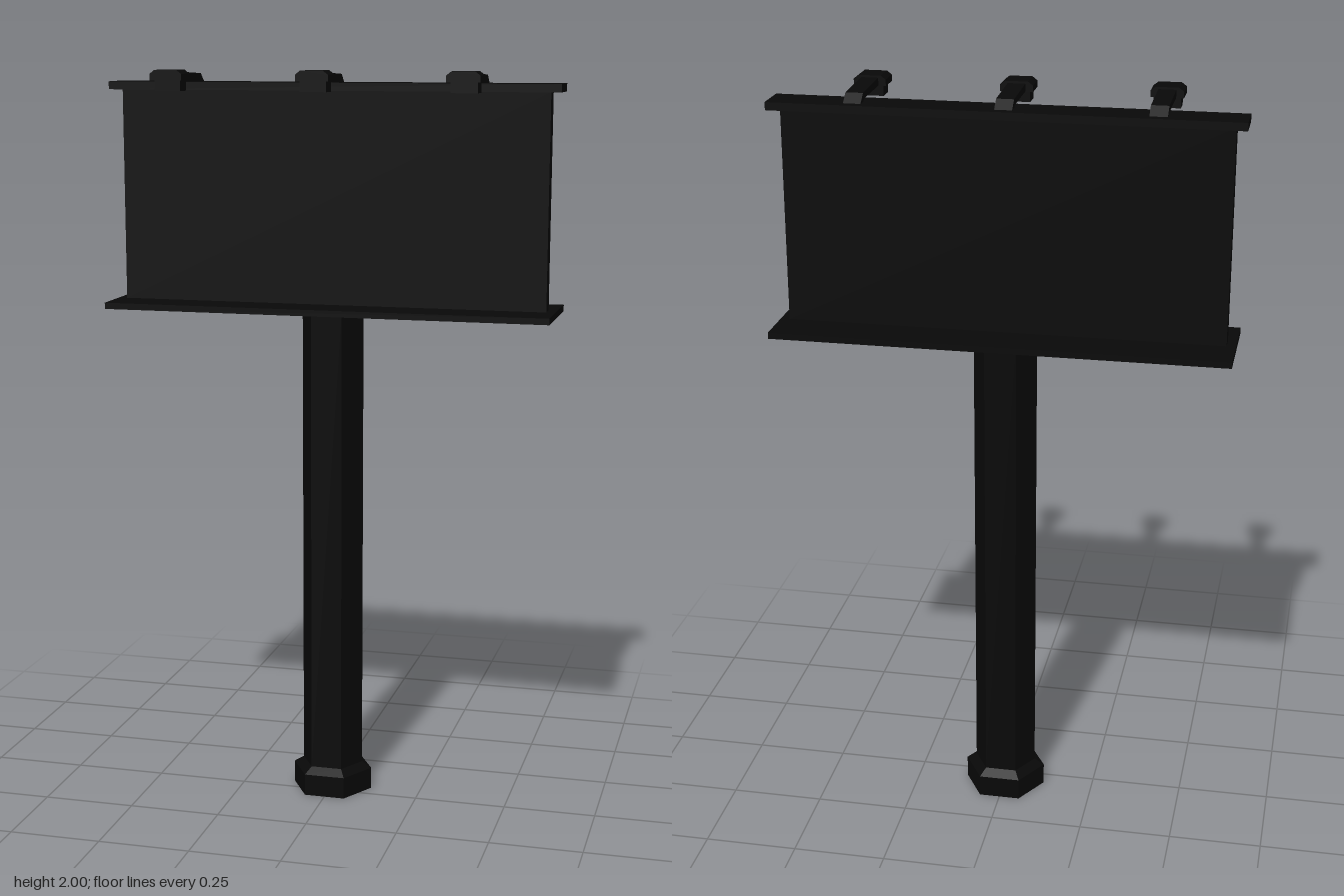
import * as THREE from 'three';

const DARK = new THREE.MeshStandardMaterial({ color: 0x080808, flatShading: true });
const AXIS_Z = -0.044; // the pole and panel sit slightly behind the centre

function part(name, geometry, parent) {
  const mesh = new THREE.Mesh(geometry, DARK);
  mesh.name = name;
  parent.add(mesh);
  return mesh;
}

// Box given by its x centre and width and its y and z limits
function slab(name, x, width, y0, y1, z0, z1, parent) {
  const mesh = part(name, new THREE.BoxGeometry(width, y1 - y0, z1 - z0), parent);
  mesh.position.set(x, (y0 + y1) / 2, (z0 + z1) / 2);
  return mesh;
}

// Hexagonal prism with corners pointing along x
function hexPrism(name, rTop, rBottom, y0, y1, parent) {
  const geometry = new THREE.CylinderGeometry(rTop, rBottom, y1 - y0, 6).rotateY(Math.PI / 6);
  part(name, geometry, parent).position.set(0, (y0 + y1) / 2, AXIS_Z);
}

function extrude(points, depth) {
  const shape = new THREE.Shape(points.map(([x, y]) => new THREE.Vector2(x, y)));
  return new THREE.ExtrudeGeometry(shape, { depth, bevelEnabled: false });
}

function createLamp(x) {
  const lamp = new THREE.Group();
  lamp.name = 'lamp';
  lamp.position.x = x;

  // Bent arm: side profile in (z, y), extruded across x
  const arm = extrude([
    [0.13, 1.974], [0.13, 1.995], [-0.045, 1.988],
    [-0.078, 1.962], [-0.05, 1.962], [-0.035, 1.972],
  ], 0.046);
  arm.rotateY(-Math.PI / 2).translate(0.023, 0, 0);
  part('lampArm', arm, lamp);

  // Housing with sloping top corners, extruded along z
  const housing = extrude([
    [-0.043, 1.973], [0.043, 1.973], [0.043, 1.99],
    [0.03, 2], [-0.03, 2], [-0.043, 1.99],
  ], 0.067);
  housing.translate(0, 0, 0.111);
  part('lampHousing', housing, lamp);
  slab('lampLens', 0, 0.07, 1.946, 1.974, 0.116, 0.163, lamp);
  return lamp;
}

export function createModel() {
  const model = new THREE.Group();
  model.name = 'billboard';

  // Foot, chamfer and pole
  hexPrism('foot', 0.112, 0.112, 0, 0.06, model);
  hexPrism('footChamfer', 0.085, 0.112, 0.06, 0.077, model);
  hexPrism('pole', 0.085, 0.085, 0.077, 1.362, model);

  // Walkway, panel and top cap
  slab('walkway', 0, 1.212, 1.36, 1.377, -0.183, 0.088, model);
  slab('panel', 0, 1.164, 1.377, 1.946, -0.065, -0.022, model);
  slab('topCap', 0, 1.224, 1.945, 1.966, -0.097, 0.004, model);

  for (const x of [-0.39, 0, 0.39]) model.add(createLamp(x));
  return model;
}
